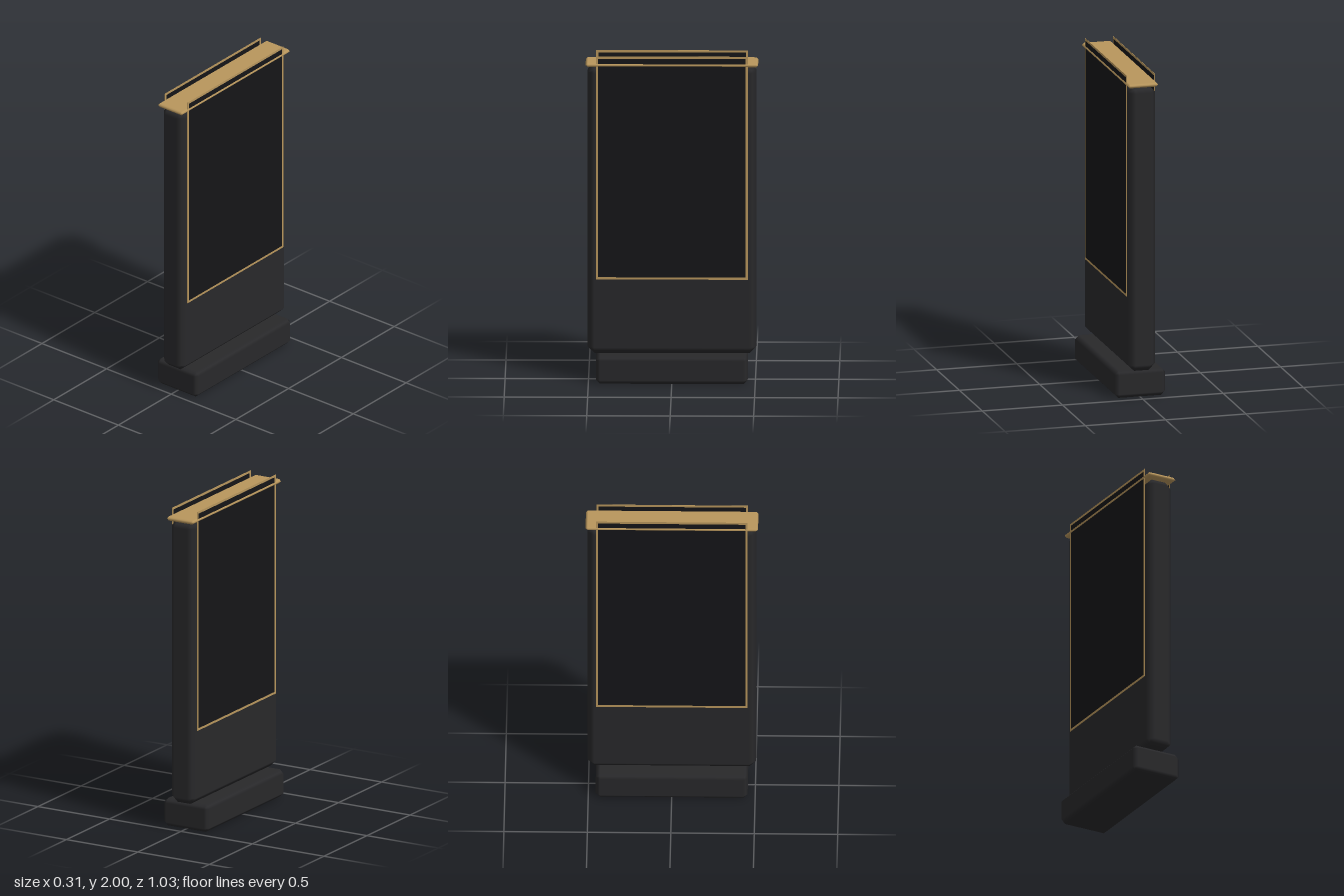
import * as THREE from 'three';
import { RoundedBoxGeometry } from 'three/addons/geometries/RoundedBoxGeometry.js';

const dark = new THREE.MeshStandardMaterial({ color: 0x28282a });
const gold = new THREE.MeshStandardMaterial({ color: 0xb8965c });
const black = new THREE.MeshStandardMaterial({ color: 0x151518 });

// Box with chamfered edges and smooth shading over the chamfers
function chamferBox(w, h, d, r) {
  const geo = new RoundedBoxGeometry(w, h, d, 1, r);
  const pos = geo.attributes.position;
  const nor = geo.attributes.normal;
  const p = new THREE.Vector3();
  const n = new THREE.Vector3();
  for (let i = 0; i < pos.count; i++) {
    p.fromBufferAttribute(pos, i);
    n.fromBufferAttribute(nor, i);
    // flatten the rounded edge to a straight cut
    p.addScaledVector(n, r / n.manhattanLength() - r);
    pos.setXYZ(i, p.x, p.y, p.z);
  }
  return geo;
}

function add(parent, name, geo, material, x, y, z) {
  const mesh = new THREE.Mesh(geo, material);
  mesh.name = name;
  mesh.position.set(x, y, z);
  parent.add(mesh);
  return mesh;
}

export function createModel() {
  const model = new THREE.Group();
  model.name = 'displayTotem';

  add(model, 'base', chamferBox(0.315, 0.17, 0.91, 0.025), dark, 0, 0.085, 0);
  add(model, 'body', chamferBox(0.17, 1.765, 1.01, 0.04), dark, 0, 1.0525, 0);
  add(model, 'topCap', chamferBox(0.19, 0.026, 1.034, 0.0129), gold, 0, 1.946, 0);

  // Thin framed screen on each broad side, rising slightly above the cap
  const w = 0.91, h = 1.37, rim = 0.014, t = 0.002;
  const outline = new THREE.Shape([
    new THREE.Vector2(-w / 2, -h / 2), new THREE.Vector2(w / 2, -h / 2),
    new THREE.Vector2(w / 2, h / 2), new THREE.Vector2(-w / 2, h / 2),
  ]);
  const a = w / 2 - rim, b = h / 2 - rim;
  outline.holes.push(new THREE.Path([
    new THREE.Vector2(-a, -b), new THREE.Vector2(-a, b),
    new THREE.Vector2(a, b), new THREE.Vector2(a, -b),
  ]));
  const frameGeo = new THREE.ExtrudeGeometry(outline, { depth: t, bevelEnabled: false });
  const panelGeo = new THREE.BoxGeometry(w - 2 * rim, h - 2 * rim, t);

  for (const [side, label] of [[1, 'left'], [-1, 'right']]) {
    const screen = new THREE.Group();
    screen.name = label + 'Screen';
    screen.position.set(side * 0.086, 2 - h / 2, 0);
    screen.rotation.y = side * Math.PI / 2;
    add(screen, label + 'ScreenFrame', frameGeo, gold, 0, 0, 0);
    add(screen, label + 'ScreenPanel', panelGeo, black, 0, 0, t / 2);
    model.add(screen);
  }
  return model;
}
